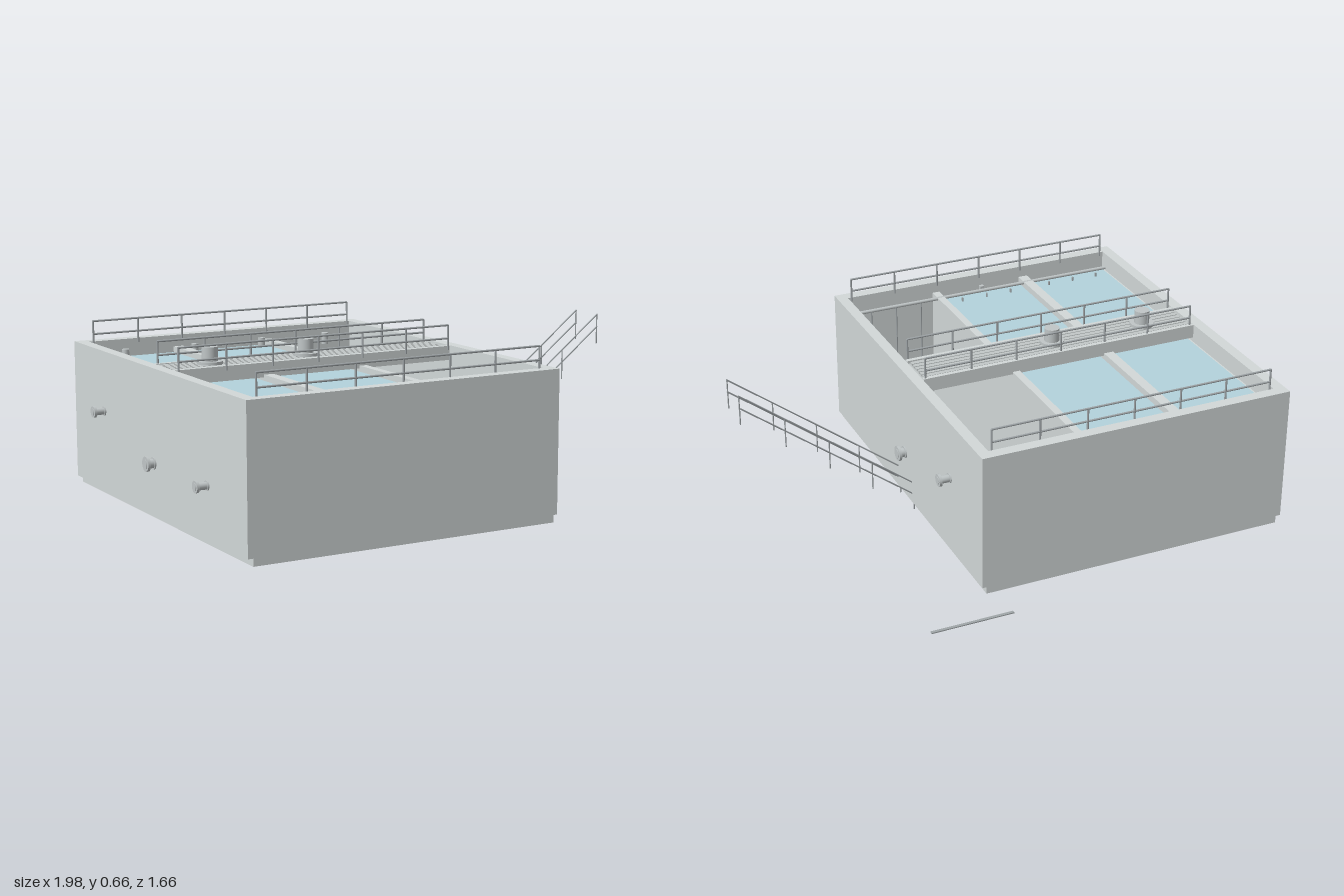
import * as THREE from 'three';

const mat = (name, color) => {
  const m = new THREE.MeshStandardMaterial({ color });
  m.name = name;
  return m;
};

export function createModel() {
  const root = new THREE.Group();
  root.name = 'treatmentTank';
  const concrete = mat('concrete', 0xd2d8d8);
  const water = mat('water', 0xb3d3dc);
  const steel = mat('steel', 0xa0a6a9);
  const grating = mat('grating', 0xc2c8c8);
  const pipeGrey = mat('pipeGrey', 0xc0c6c7);

  // box given by its min and max corners
  const box = (name, m, x0, x1, y0, y1, z0, z1, parent = root) => {
    const mesh = new THREE.Mesh(new THREE.BoxGeometry(x1 - x0, y1 - y0, z1 - z0), m);
    mesh.position.set((x0 + x1) / 2, (y0 + y1) / 2, (z0 + z1) / 2);
    mesh.name = name;
    parent.add(mesh);
  };
  // round bar between two points
  const bar = (name, m, a, b, r, parent = root, sides = 16) => {
    const p = new THREE.Vector3(...a), q = new THREE.Vector3(...b);
    const d = q.clone().sub(p);
    const mesh = new THREE.Mesh(new THREE.CylinderGeometry(r, r, d.length(), sides), m);
    mesh.position.copy(p).add(q).multiplyScalar(0.5);
    mesh.quaternion.setFromUnitVectors(new THREE.Vector3(0, 1, 0), d.normalize());
    mesh.name = name;
    parent.add(mesh);
  };
  const group = (name) => {
    const g = new THREE.Group();
    g.name = name;
    root.add(g);
    return g;
  };
  const points = (list) => list.map(p => new THREE.Vector2(...p));

  // base slab and outer walls
  box('baseSlab', concrete, -0.91, 0.312, 0.01, 0.055, -0.67, 0.825);
  const ring = new THREE.Shape(points([[-0.93, -0.825], [0.328, -0.825], [0.328, 0.67], [-0.93, 0.67]]));
  ring.holes.push(new THREE.Path(points([[-0.885, -0.78], [-0.885, 0.625], [0.285, 0.625], [0.285, -0.78]])));
  const walls = new THREE.Mesh(
    new THREE.ExtrudeGeometry(ring, { depth: 0.538, bevelEnabled: false }), concrete);
  walls.rotation.x = -Math.PI / 2;
  walls.position.y = 0.038;
  walls.name = 'outerWalls';
  root.add(walls);

  // dividing walls
  for (const [x0, x1] of [[-0.525, -0.485], [-0.12, -0.09]])
    box('dividerWall', concrete, x0, x1, 0.05, 0.53, -0.63, 0.785);

  // filled basins: wall to wall, with the water set inside a narrow ledge
  for (const [x0, x1, w0, w1] of [[-0.89, -0.525, -0.872, -0.529], [-0.485, -0.12, -0.48, -0.126]]) {
    box('basinLedge', concrete, x0, x1, 0.05, 0.502, -0.63, 0.785);
    box('waterSurface', water, w0, w1, 0.502, 0.509, -0.612, 0.768);
  }

  // central walkway with slatted deck
  const deck = group('walkway');
  box('deckSlab', grating, -0.885, 0.28, 0.53, 0.564, -0.015, 0.16, deck);
  for (const z of [-0.02, 0.147]) box('deckEdge', concrete, -0.885, 0.28, 0.52, 0.575, z, z + 0.018, deck);
  for (let i = 0; i < 6; i++) {
    const z = 0.004 + i * 0.0235;
    box('deckSlat', grating, -0.875, 0.27, 0.56, 0.573, z, z + 0.019, deck);
  }

  // drive units on the walkway
  for (const x of [-0.7, -0.302]) {
    const drive = group('driveUnit');
    bar('driveFlange', pipeGrey, [x, 0.57, 0.075], [x, 0.584, 0.075], 0.048, drive, 32);
    bar('driveHousing', pipeGrey, [x, 0.584, 0.075], [x, 0.637, 0.075], 0.03, drive, 32);
  }

  // guard rails
  for (const z of [-0.62, -0.01, 0.17, 0.78]) {
    const rail = group('guardRail');
    for (const y of [0.606, 0.657]) bar('railBar', steel, [-0.872, y, z], [0.27, y, z], 0.004, rail);
    for (let i = 0; i < 7; i++) {
      const x = -0.87 + i * 0.19;
      bar('railPost', steel, [x, 0.56, z], [x, 0.657, z], 0.004, rail);
    }
  }

  // sloping stair rails
  for (const z of [0.005, 0.147]) {
    const rail = group('stairRail');
    for (const y of [0.12, 0.07]) bar('stairBar', steel, [0.32, y, z], [1, y + 0.527, z], 0.0028, rail);
    for (let i = 0; i < 5; i++) {
      const x = 0.32 + i * 0.1695, top = 0.12 + (x - 0.32) * 0.775;
      bar('stairPost', steel, [x, top - 0.118, z], [x, top, z], 0.0025, rail);
    }
  }
  box('groundStrip', steel, 0.275, 0.595, 0.014, 0.018, -0.832, -0.82);

  // flanged wall nozzles: side, height, depth, flange radius, length
  for (const [s, y, z, r, len] of [[-1, 0.345, -0.38, 0.022, 0.05], [-1, 0.225, 0.073, 0.028, 0.036],
    [-1, 0.23, 0.52, 0.022, 0.05], [1, 0.345, -0.375, 0.024, 0.05], [1, 0.225, 0.073, 0.03, 0.034]]) {
    const nozzle = group('wallNozzle');
    const at = (d) => [(s < 0 ? -0.93 : 0.328) + s * d, y, z];
    bar('nozzlePipe', pipeGrey, at(-0.01), at(len), r * 0.62, nozzle, 24);
    bar('nozzleCollar', pipeGrey, at(-0.005), at(0.005), r * 0.8, nozzle, 24);
    bar('nozzleFlange', pipeGrey, at(len - 0.012), at(len - 0.002), r, nozzle, 24);
  }

  // overflow stubs along the back wall
  for (const x of [-0.75, -0.45, -0.15, 0.145])
    bar('overflowStub', pipeGrey, [x, 0.495, -0.585], [x, 0.542, -0.585], 0.014, root, 20);

  // air header with drops; the open basin has floor pipes and diffusers
  const air = group('airPiping');
  bar('airHeader', pipeGrey, [-0.872, 0.525, 0.728], [0.255, 0.525, 0.728], 0.007, air);
  box('headerInlet', pipeGrey, -0.31, -0.293, 0.5, 0.535, 0.745, 0.762, air);
  for (const x of [-0.81, -0.7, -0.59, -0.41, -0.3, -0.19])
    bar('airDrop', steel, [x, 0.5, 0.695], [x, 0.525, 0.695], 0.004, air);
  for (const x of [-0.013, 0.097, 0.207]) {
    bar('airRiser', steel, [x, 0.085, 0.722], [x, 0.525, 0.722], 0.003, air);
    bar('floorPipe', steel, [x, 0.085, -0.385], [x, 0.085, 0.722], 0.0028, air);
    for (const z of [-0.385, 0.53])
      bar('diffuser', pipeGrey, [x, 0.085, z], [x, 0.1, z], 0.028, air, 24);
  }
  return root;
}
